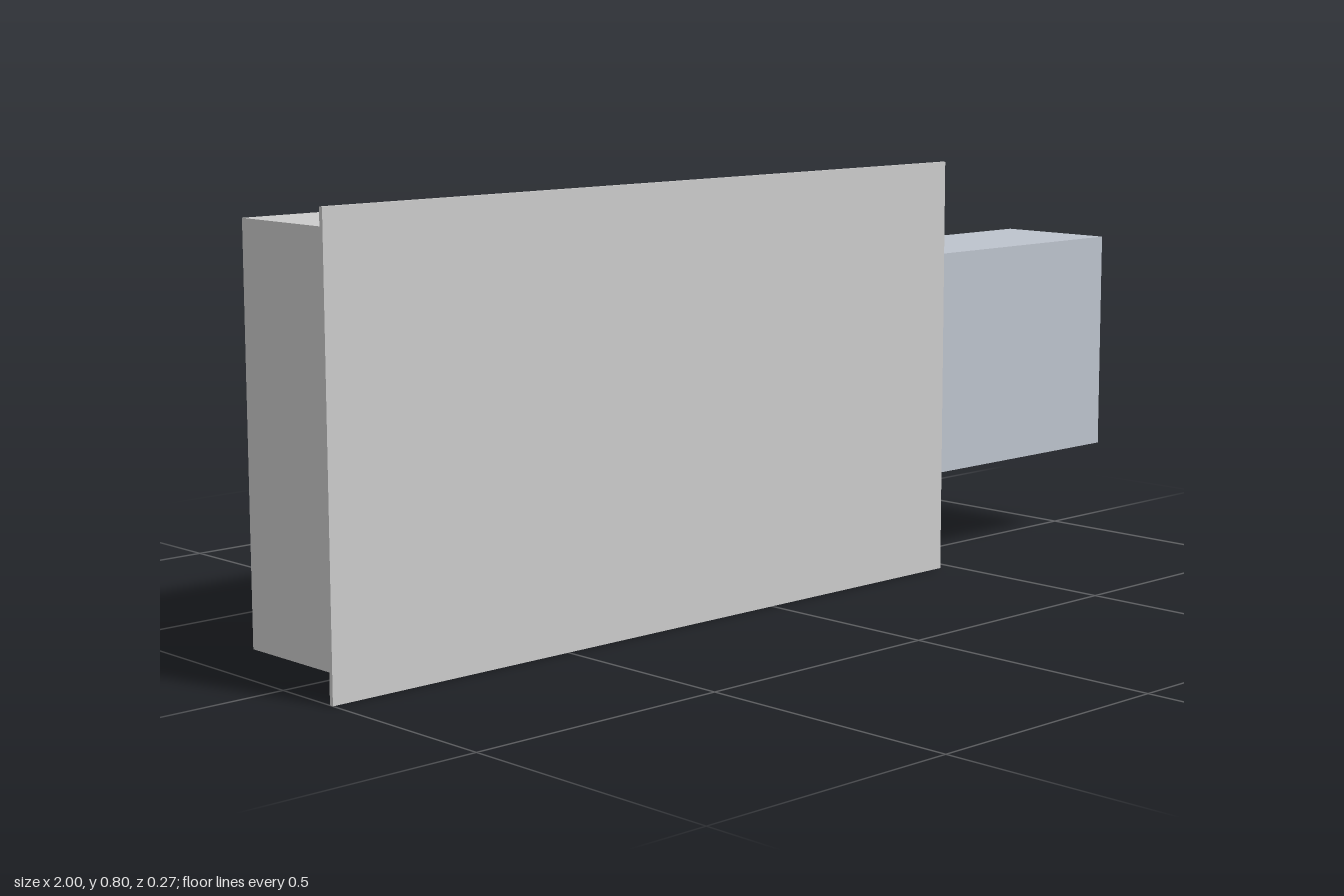
import * as THREE from 'three';

const grey = new THREE.MeshStandardMaterial({ color: 0xcccccc });
const blueGrey = new THREE.MeshStandardMaterial({ color: 0xbdc3cd });

// Box spanning [min, max] on each axis
function block(name, [x0, x1], [y0, y1], [z0, z1], material) {
  const mesh = new THREE.Mesh(new THREE.BoxGeometry(x1 - x0, y1 - y0, z1 - z0), material);
  mesh.position.set((x0 + x1) / 2, (y0 + y1) / 2, (z0 + z1) / 2);
  mesh.name = name;
  return mesh;
}

export function createModel() {
  const group = new THREE.Group();
  group.name = 'panelBox';
  const depth = [-0.137, 0.111];

  group.add(
    // Thin cover, held slightly clear of the housing
    block('frontPlate', [-1, 0.472], [0, 0.802], [0.129, 0.137], grey),
    // Main housing
    block('housing', [-0.963, 0.433], [0.038, 0.765], depth, grey),
    // Side extension, flush with the housing front and back
    block('sideBlock', [0.433, 1], [0.185, 0.62], depth, blueGrey),
  );
  return group;
}
